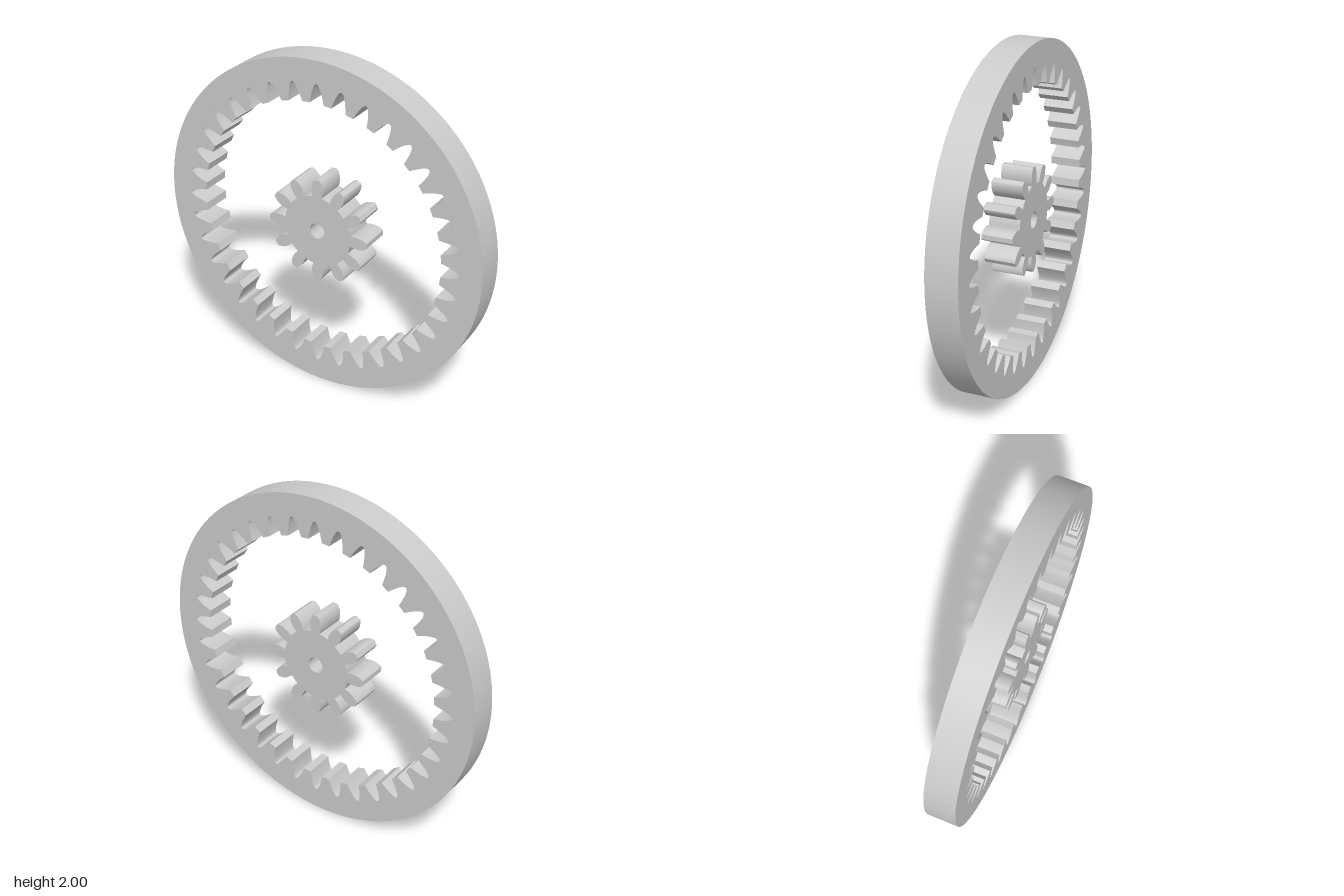
import * as THREE from 'three';
import { toCreasedNormals } from 'three/addons/utils/BufferGeometryUtils.js';

const DEPTH = 0.18;
const material = new THREE.MeshStandardMaterial({ color: 0xcccccc });

// Closed outline of repeated lobes; profile is [radius, half width] from lobe base to tip.
function toothOutline(count, profile) {
  const pts = [];
  const pitch = (Math.PI * 2) / count;
  const add = (r, a) => pts.push(new THREE.Vector2(r * Math.cos(a), r * Math.sin(a)));
  const [baseR, baseW] = profile[0];
  const baseA = Math.asin(baseW / baseR);
  for (let i = 0; i < count; i++) {
    const mid = Math.PI / 2 + i * pitch;
    for (const [r, w] of profile) add(r, mid - Math.asin(w / r));
    for (const [r, w] of [...profile].reverse()) add(r, mid + Math.asin(w / r));
    // arc across to the next lobe
    for (let k = 1; k < 4; k++) add(baseR, mid + baseA + (pitch - 2 * baseA) * k / 4);
  }
  return pts;
}

function circle(radius, segments) {
  return new THREE.Path().absarc(0, 0, radius, 0, Math.PI * 2, false).getPoints(segments).slice(0, -1);
}

// Flat plate with one hole, centred in depth at hub height
function plate(name, outline, hole) {
  const shape = new THREE.Shape(outline);
  shape.holes.push(new THREE.Path(hole));
  const geometry = new THREE.ExtrudeGeometry(shape, { depth: DEPTH, bevelEnabled: false });
  geometry.translate(0, 1, -DEPTH / 2);
  const mesh = new THREE.Mesh(toCreasedNormals(geometry, 0.5), material);
  mesh.name = name;
  return mesh;
}

export function createModel() {
  const group = new THREE.Group();
  group.name = 'internalGearSet';

  // Outer ring with 36 inward teeth: the lobes are the gaps between them
  const gaps = [[0.762, 0.043], [0.78, 0.04], [0.80, 0.0355], [0.82, 0.03],
    [0.84, 0.0235], [0.855, 0.017], [0.865, 0.011], [0.87, 0.004]];
  group.add(plate('ringGear', circle(1, 120), toothOutline(36, gaps)));

  // Central 12-tooth pinion with a bore
  const teeth = [[0.212, 0.027], [0.225, 0.031], [0.243, 0.0345], [0.262, 0.0355],
    [0.28, 0.033], [0.295, 0.028], [0.308, 0.021], [0.314, 0.014]];
  group.add(plate('pinionGear', toothOutline(12, teeth), circle(0.047, 40)));

  return group;
}
